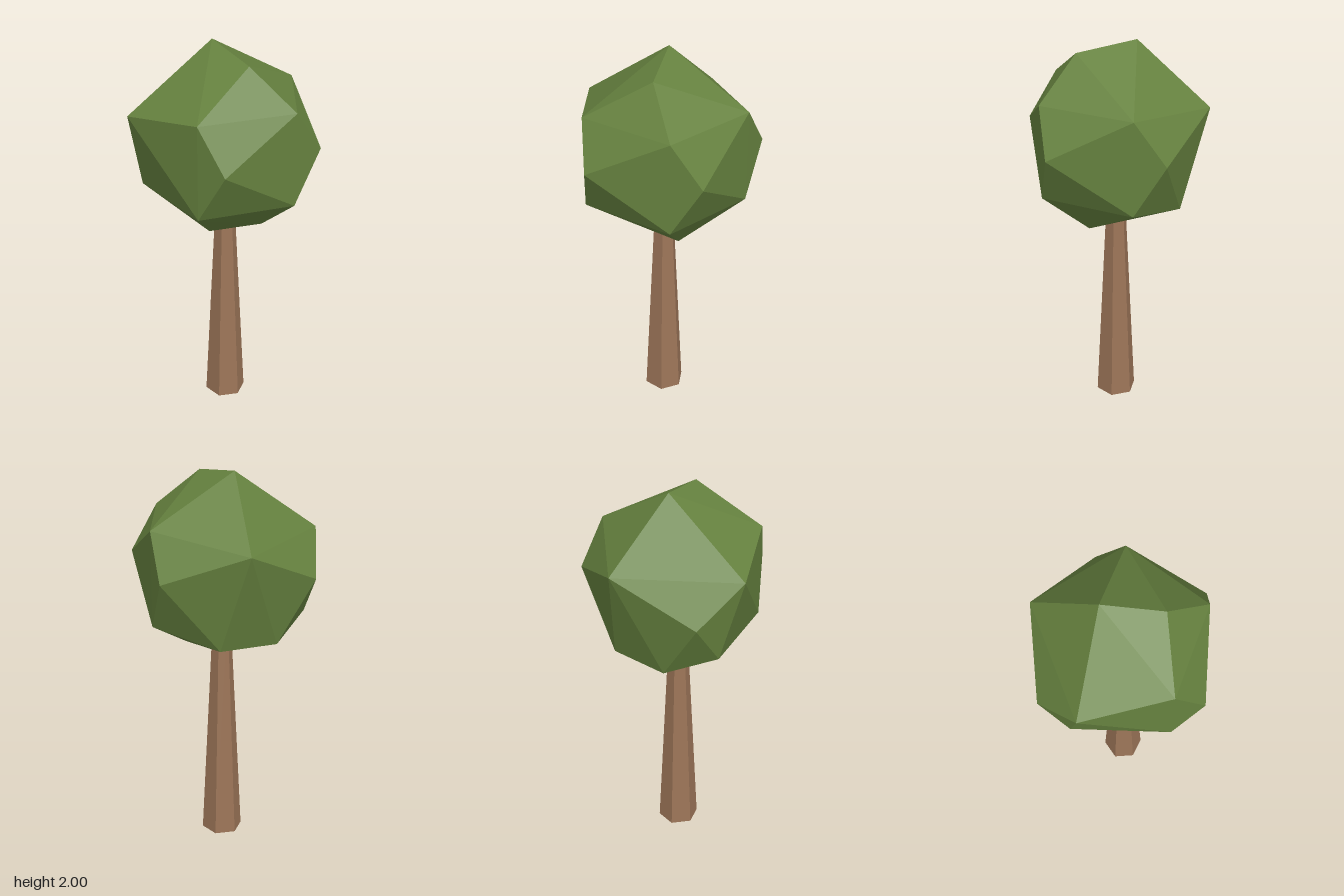
import * as THREE from 'three';
import { ConvexGeometry } from 'three/addons/geometries/ConvexGeometry.js';

export function createModel() {
  const tree = new THREE.Group();
  tree.name = 'tree';

  // Tapered six-sided trunk, running up into the crown
  const height = 1.25;
  const trunk = new THREE.Mesh(
    new THREE.CylinderGeometry(0.045, 0.106, height, 6),
    new THREE.MeshStandardMaterial({ color: 0x9c7558, flatShading: true })
  );
  trunk.name = 'trunk';
  trunk.position.y = height / 2;
  tree.add(trunk);

  // Irregular faceted crown, corners listed from top to bottom
  const corners = [
    // top
    [-0.085, 2.0, -0.06], [0.155, 1.95, 0.115],
    // upper ring
    [0.395, 1.75, 0.127], [0.243, 1.75, -0.336], [0, 1.75, 0.414],
    [-0.27, 1.682, -0.372], [-0.415, 1.675, 0.24],
    // middle ring
    [0.485, 1.53, 0], [0.15, 1.53, 0.461], [0.15, 1.53, -0.461], [-0.485, 1.482, 0],
    // lower ring
    [0.395, 1.265, 0.127], [0, 1.265, 0.414], [0.243, 1.265, -0.336], [-0.395, 1.265, 0.127],
    // underside
    [-0.33, 1.17, -0.13], [-0.106, 1.18, -0.336], [0.195, 1.065, 0], [-0.042, 1.048, 0.127],
  ];
  const crown = new THREE.Mesh(
    new ConvexGeometry(corners.map((c) => new THREE.Vector3(...c))),
    new THREE.MeshStandardMaterial({ color: 0x66823f, flatShading: true })
  );
  crown.name = 'crown';
  tree.add(crown);

  return tree;
}
